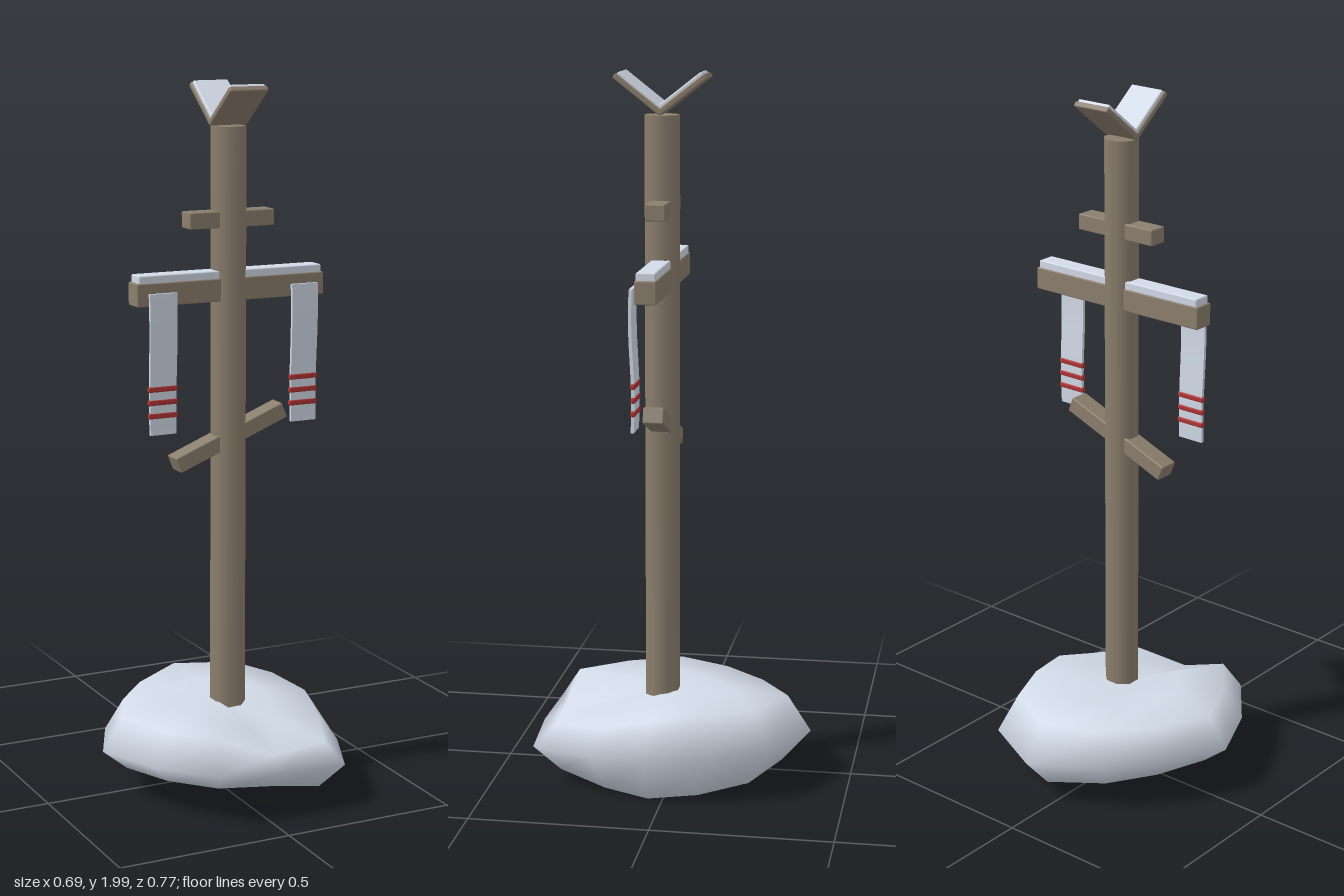
import * as THREE from 'three';
import { RoundedBoxGeometry } from 'three/addons/geometries/RoundedBoxGeometry.js';

const snow = new THREE.MeshStandardMaterial({ color: 0xd6dfec });
snow.name = 'snow';
const wood = new THREE.MeshStandardMaterial({ color: 0x8b7e6d });
wood.name = 'weathered wood';
const red = new THREE.MeshStandardMaterial({ color: 0xb03434 });
red.name = 'red thread';

const CX = 0.043, CZ = 0.036; // post axis

function add(parent, name, geometry, material, x = 0, y = 0, z = 0) {
  const mesh = new THREE.Mesh(geometry, material);
  mesh.name = name;
  mesh.position.set(x, y, z);
  parent.add(mesh);
  return mesh;
}

const beam = (w, h, d, r = 0.004) => new RoundedBoxGeometry(w, h, d, 1, r);

// Lumpy drift lofted from one outline: each ring is [scale, height around the rim]
function driftGeometry() {
  const outline = [
    [0.043, -0.388], [0.237, -0.295], [0.306, -0.125], [0.344, 0.045], [0.315, 0.2], [0.242, 0.375],
    [0.043, 0.386], [-0.15, 0.37], [-0.27, 0.215], [-0.346, 0.035], [-0.264, -0.14], [-0.14, -0.28],
  ];
  const top = [0.245, 0.25, 0.25, 0.235, 0.2, 0.18, 0.17, 0.235, 0.235, 0.235, 0.235, 0.235];
  const mid = [0.145, 0.145, 0.14, 0.14, 0.13, 0.125, 0.135, 0.15, 0.145, 0.145, 0.145, 0.145];
  const low = [0.05, 0.035, 0.012, 0.005, 0.02, 0.045, 0.075, 0.09, 0.085, 0.085, 0.075, 0.06];
  const rings = [
    [0.45, top.map((y) => 0.6 * y + 0.4 * 0.255)],
    [0.84, top], [1, mid], [0.8, low],
    [0.4, low.map((y) => 0.5 * y + 0.5 * 0.025)],
  ];
  const n = outline.length, ox = 0.02, oz = 0.03;
  const pos = [ox, 0.25, oz], index = [];
  for (const [s, heights] of rings) {
    outline.forEach(([x, z], i) => pos.push(ox + (x - ox) * s, heights[i], oz + (z - oz) * s));
  }
  const last = pos.length / 3;
  pos.push(ox, 0.02, oz);
  for (let i = 0; i < n; i++) {
    const j = (i + 1) % n;
    index.push(0, 1 + j, 1 + i);
    for (let r = 0; r < rings.length - 1; r++) {
      const a = 1 + r * n + i, b = 1 + r * n + j;
      index.push(a, b, b + n, a, b + n, a + n);
    }
    const base = 1 + (rings.length - 1) * n;
    index.push(last, base + i, base + j);
  }
  const g = new THREE.BufferGeometry();
  g.setAttribute('position', new THREE.Float32BufferAttribute(pos, 3));
  g.setIndex(index);
  g.computeVertexNormals();
  return g;
}

// Hanging cloth strip with a gentle ripple and three thread bands
function clothStrip(x) {
  const strip = new THREE.Group();
  strip.name = 'clothStrip';
  const ripple = (y) => 0.004 * Math.sin(y * 14);
  const cloth = new THREE.BoxGeometry(0.082, 0.39, 0.009, 1, 8, 1);
  const p = cloth.attributes.position;
  for (let i = 0; i < p.count; i++) {
    const y = p.getY(i);
    p.setXYZ(i, p.getX(i) * (0.97 + 0.1 * y), y, p.getZ(i) + ripple(y));
  }
  cloth.computeVertexNormals();
  add(strip, 'cloth', cloth, snow);
  for (const y of [-0.068, -0.105, -0.142]) {
    add(strip, 'threadBand', beam(0.088, 0.017, 0.014, 0.005), red, 0, y, ripple(y));
  }
  strip.position.set(x, 1.245, 0.079);
  return strip;
}

// Sloping board with a snow layer; two of them form the V on top
function wing(name, turn) {
  const pivot = new THREE.Group();
  pivot.name = name;
  pivot.position.set(CX, 1.88, CZ);
  pivot.rotation.y = turn;
  const tilt = new THREE.Group();
  tilt.rotation.x = -THREE.MathUtils.degToRad(38);
  pivot.add(tilt);
  add(tilt, 'wingBoard', beam(0.115, 0.016, 0.164), wood, 0, 0.008, 0.082);
  add(tilt, 'wingSnow', beam(0.107, 0.014, 0.156), snow, 0, 0.018, 0.082);
  return pivot;
}

export function createModel() {
  const model = new THREE.Group();
  model.name = 'signPost';

  add(model, 'snowDrift', driftGeometry(), snow);

  // Post
  const post = add(model, 'post', new THREE.CylinderGeometry(0.049, 0.05, 1.72, 8), wood, CX, 1.02, CZ + 0.002);
  post.rotation.y = Math.PI / 8;

  // Arms
  add(model, 'crossbar', beam(0.572, 0.064, 0.06), wood, 0.041, 1.435, CZ);
  add(model, 'crossbarSnow', beam(0.558, 0.026, 0.053), snow, 0.041, 1.475, CZ);
  add(model, 'upperPeg', beam(0.258, 0.046, 0.056), wood, CX, 1.628, CZ);
  const brace = add(model, 'slantedBrace', beam(0.355, 0.046, 0.058), wood, CX, 1.017, CZ);
  brace.rotation.z = 0.375;

  // Hanging strips
  for (const x of [-0.175, 0.258]) model.add(clothStrip(x));

  // V-shaped top
  model.add(wing('frontWing', 0), wing('backWing', Math.PI));
  return model;
}
